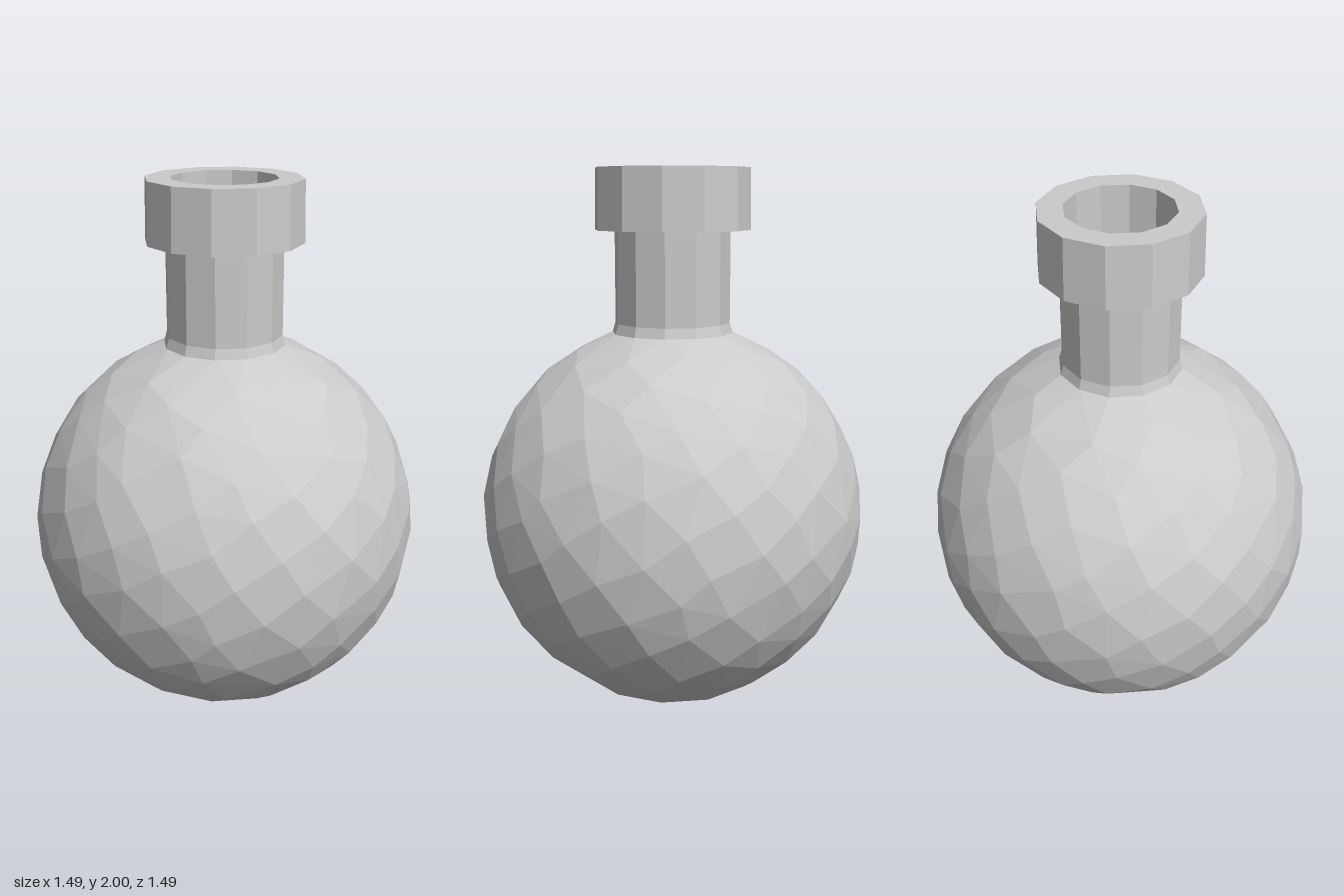
import * as THREE from 'three';
import { ConvexGeometry } from 'three/addons/geometries/ConvexGeometry.js';

const SIDES = 12;
const CENTER_Y = 0.67, RADIUS = 0.747;
const BASE_R = 0.35, COLLAR_Y = 1.385, COLLAR_R = 0.225;

// Small seeded generator for the irregular facets
function seeded(seed) {
  return () => {
    seed = (seed * 16807) % 2147483647;
    return seed / 2147483647;
  };
}

function ring(radius, y, count) {
  return Array.from({ length: count }, (_, i) => {
    const a = (i / count) * Math.PI * 2;
    return new THREE.Vector3(radius * Math.sin(a), y, radius * Math.cos(a));
  });
}

// Round body: scattered points on a sphere, cut flat below and open at the collar
function bodyGeometry() {
  const random = seeded(37);
  const points = [...ring(BASE_R, 0, SIDES), ...ring(COLLAR_R, COLLAR_Y, SIDES)];
  const count = 230;
  for (let i = 0; i < count; i++) {
    const a = i * Math.PI * (3 - Math.sqrt(5)) + (random() - 0.5) * 0.12;
    const h = 1 - (2 * (i + 0.5)) / count + (random() - 0.5) * 0.03;
    const y = CENTER_Y + RADIUS * h;
    if (y < 0.06 || y > COLLAR_Y - 0.04) continue;
    const r = RADIUS * Math.sqrt(1 - h * h);
    points.push(new THREE.Vector3(r * Math.sin(a), y, r * Math.cos(a)));
  }
  const hull = new ConvexGeometry(points);
  const p = hull.attributes.position;
  const kept = [];
  for (let i = 0; i < p.count; i += 3) {
    // Leave out the cap under the neck
    if ([0, 1, 2].every((k) => p.getY(i + k) > COLLAR_Y - 0.001)) continue;
    for (let k = 0; k < 3; k++) kept.push(p.getX(i + k), p.getY(i + k), p.getZ(i + k));
  }
  const geometry = new THREE.BufferGeometry();
  geometry.setAttribute('position', new THREE.Float32BufferAttribute(kept, 3));
  geometry.computeVertexNormals();
  return geometry;
}

function lathe(profile, sides = SIDES) {
  return new THREE.LatheGeometry(profile.map(([r, y]) => new THREE.Vector2(r, y)), sides);
}

export function createModel() {
  const group = new THREE.Group();
  const material = new THREE.MeshStandardMaterial({ color: 0xcccccc, flatShading: true });
  const add = (name, geometry) => {
    const mesh = new THREE.Mesh(geometry, material);
    mesh.name = name;
    group.add(mesh);
  };

  add('body', bodyGeometry());

  // Straight neck with a slight flare where it meets the body
  add('neck', lathe([[0.235, 1.375], [0.222, 1.42], [0.222, 1.77]]));

  // Thick collar around the mouth
  add('lip', lathe([[0.222, 1.77], [0.298, 1.77], [0.294, 2], [0.2, 2]]));

  // Inner wall: down the neck, around the hollow and across the floor
  const inner = [[0.2, 2], [0.2, 1.36]];
  const innerR = 0.715;
  for (let i = 1; i < 12; i++) {
    const a = THREE.MathUtils.lerp(0.28, Math.PI - 0.44, i / 12);
    inner.push([innerR * Math.sin(a), CENTER_Y + innerR * Math.cos(a)]);
  }
  inner.push([0.3, 0.025], [0, 0.025]);
  add('innerWall', lathe(inner));

  return group;
}
